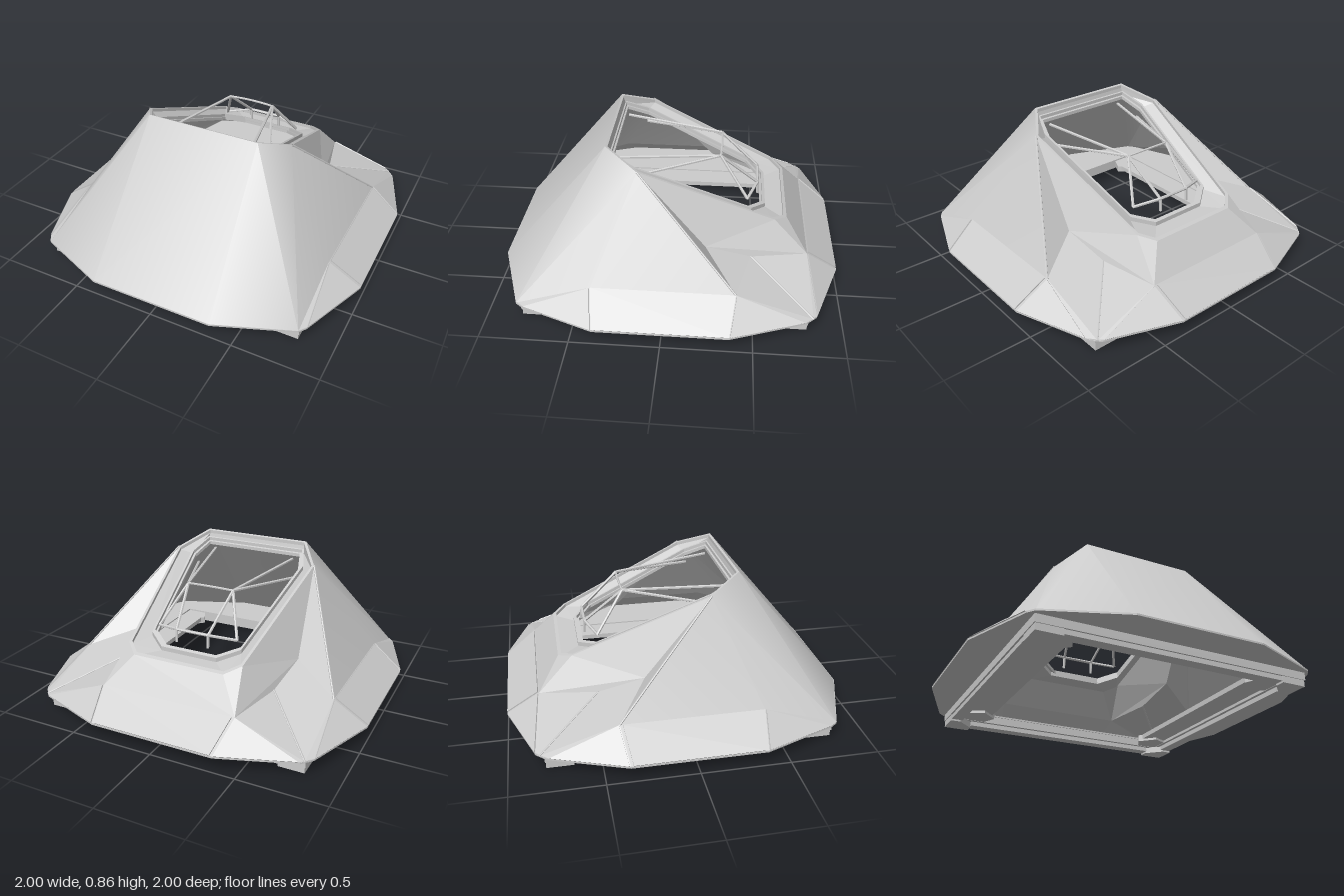
import * as THREE from 'three';
import { toCreasedNormals } from 'three/addons/utils/BufferGeometryUtils.js';

const grey = new THREE.MeshStandardMaterial({ color: 0xcccccc, flatShading: true, side: THREE.DoubleSide });
const smoothGrey = new THREE.MeshStandardMaterial({ color: 0xcccccc, side: THREE.DoubleSide });

const mirror = (p) => [-p[0], p[1], p[2]];

// Build a mesh from flat convex polygons, each a list of corner points
function polyMesh(name, polys, smooth = false) {
  const pos = [];
  for (const p of polys) {
    for (let i = 1; i < p.length - 1; i++) pos.push(...p[0], ...p[i], ...p[i + 1]);
  }
  const g = new THREE.BufferGeometry();
  g.setAttribute('position', new THREE.Float32BufferAttribute(pos, 3));
  g.computeVertexNormals();
  const m = smooth ? new THREE.Mesh(toCreasedNormals(g, 0.75), smoothGrey) : new THREE.Mesh(g, grey);
  m.name = name;
  return m;
}

const bothSides = (polys) => [...polys, ...polys.map((p) => p.map(mirror).reverse())];

// Raised armour panel: the polygon shrunk a little, with a thin edge
function panelPolys(corners) {
  const v = corners.map((c) => new THREE.Vector3(...c));
  const mid = v.reduce((a, b) => a.add(b), new THREE.Vector3()).divideScalar(v.length);
  const n = v[1].clone().sub(v[0]).cross(v[2].clone().sub(v[0])).normalize();
  if (n.y < 0) n.negate();
  const low = v.map((p) => p.clone().lerp(mid, 0.04));
  const top = low.map((p) => p.clone().addScaledVector(n, 0.007).toArray());
  const base = low.map((p) => p.toArray());
  const sides = top.map((t, i) => {
    const j = (i + 1) % top.length;
    return [base[i], base[j], top[j], t];
  });
  return [top, ...sides];
}

// Points of the sloping opening: height follows one tilted plane
const rimY = (z) => 0.696 + 0.442 * z;
function rimLoop(half, drop) {
  const right = half.map(([x, z]) => [x, rimY(z) - drop, z]);
  return [...right, ...right.map(mirror).reverse()];
}

function loftLoops(loops) {
  const polys = [];
  for (let k = 0; k < loops.length - 1; k++) {
    const a = loops[k], b = loops[k + 1];
    for (let i = 0; i < a.length; i++) {
      const j = (i + 1) % a.length;
      polys.push([a[i], a[j], b[j], b[i]]);
    }
  }
  return polys;
}

function strut(a, b, r) {
  const curve = new THREE.LineCurve3(new THREE.Vector3(...a), new THREE.Vector3(...b));
  return new THREE.Mesh(new THREE.TubeGeometry(curve, 1, r, 6), grey);
}

function box(name, w, h, d, x, y, z) {
  const m = new THREE.Mesh(new THREE.BoxGeometry(w, h, d), grey);
  m.position.set(x, y, z);
  m.name = name;
  return m;
}

// Horizontal slab from an x/z outline, rising from y
function slab(name, shape, y, depth) {
  const m = new THREE.Mesh(new THREE.ExtrudeGeometry(shape, { depth, bevelEnabled: false }), grey);
  m.rotation.x = -Math.PI / 2;
  m.position.y = y;
  m.name = name;
  return m;
}

export function createModel() {
  const model = new THREE.Group();

  // Key corners on the +x side
  const rimHalf = [[0.34, 0.36], [0.465, 0.17], [0.36, -0.61], [0.28, -0.685]];
  const [r1, r2, r3, r4] = rimLoop(rimHalf, 0);
  const front = [0.37, 0.09, 1], frontCorner = [0.81, 0.09, 0.83];
  const ridgeF = [0.81, 0.23, 0.4], ridgeB = [0.81, 0.23, -0.4];
  const edgeF = [0.998, 0.09, 0.37], edgeB = [0.998, 0.09, -0.37];
  const backCorner = [0.81, 0.09, -0.83], back = [0.37, 0.09, -0.998];
  const shoulder = [0.41, 0.23, -0.81];
  const valleyTop = [0.53, 0.335, -0.22], valley = [0.49, 0.25, -0.48];

  // Softly bent front shell
  model.add(polyMesh('frontHull', [
    [mirror(front), front, r1, mirror(r1)],
    ...bothSides([
      [front, frontCorner, r1], [frontCorner, r2, r1],
      [frontCorner, ridgeF, r2], [ridgeF, ridgeB, r2],
    ]),
  ], true));

  // Sharply faceted rear shell with hollowed flanks
  model.add(polyMesh('rearHull', [
    [mirror(shoulder), mirror(r4), r4, shoulder],
    ...bothSides([
      [r2, ridgeB, valleyTop], [valleyTop, ridgeB, valley],
      [r2, valleyTop, r3], [r3, valleyTop, shoulder],
      [valleyTop, valley, shoulder], [r3, shoulder, r4],
      [valley, ridgeB, backCorner], [valley, backCorner, shoulder],
    ]),
  ]));

  // Thin trim along the main seams
  const trim = new THREE.Group();
  trim.name = 'seamTrim';
  for (const f of [(p) => p, mirror]) {
    for (const [a, b] of [[r2, ridgeB], [valley, backCorner]]) trim.add(strut(f(a), f(b), 0.006));
  }
  model.add(trim);

  // Sloping skirt beneath the armour panels
  const frontTip = [0.84, 0.09, 0.79], backTip = [0.845, 0.09, -0.79], rearTip = [0.79, 0.09, -0.85];
  const sideSkirt = [
    [ridgeF, edgeF, edgeB, ridgeB],
    [ridgeF, frontTip, edgeF],
    [ridgeB, edgeB, backTip],
    [shoulder, rearTip, back],
  ];
  const rearSkirt = [shoulder, back, mirror(back), mirror(shoulder)];
  model.add(polyMesh('skirt', [rearSkirt, ...bothSides([
    ...sideSkirt, [ridgeF, frontCorner, frontTip], [ridgeB, backTip, backCorner], [shoulder, backCorner, rearTip],
  ])]));
  model.add(polyMesh('skirtPanels', [
    ...panelPolys(rearSkirt), ...bothSides(sideSkirt.flatMap((p) => panelPolys(p))),
  ]));

  // Stepped rim around the opening: outer lip, sloping band, inner bead
  const lip = [[0.33, 0.348], [0.45, 0.165], [0.345, -0.60], [0.274, -0.665]];
  const inner = [[0.335, 0.338], [0.385, 0.20], [0.288, -0.475], [0.175, -0.56]];
  const bead = [[0.325, 0.33], [0.37, 0.195], [0.278, -0.458], [0.165, -0.542]];
  const mouth = [[0.315, 0.32], [0.355, 0.19], [0.268, -0.443], [0.155, -0.527]];
  model.add(polyMesh('openingRim', loftLoops([
    rimLoop(rimHalf, 0), rimLoop(lip, 0), rimLoop(lip, 0.02), rimLoop(inner, 0.06),
    rimLoop(inner, 0.035), rimLoop(bead, 0.035), rimLoop(bead, 0.055), rimLoop(mouth, 0.055), rimLoop(mouth, 0.075),
  ])));

  // Open canopy frame
  const canopy = new THREE.Group();
  canopy.name = 'canopyFrame';
  const apex = [0.145, 0.712, -0.285];
  const footRear = [0.1, 0.515, -0.51], footSide = [0.25, 0.49, -0.45];
  for (const f of [(p) => p, mirror]) {
    for (const [a, b] of [
      [apex, [0.27, 0.745, 0.31]], [apex, [0.34, 0.67, 0.2]],
      [apex, footRear], [apex, footSide], [footRear, footSide],
      [footRear, [0.1, 0.44, -0.515]],
    ]) canopy.add(strut(f(a), f(b), 0.009));
  }
  canopy.add(strut(footRear, mirror(footRear), 0.009));
  const bow = new THREE.QuadraticBezierCurve3(
    new THREE.Vector3(...apex), new THREE.Vector3(0, 0.72, -0.295), new THREE.Vector3(...mirror(apex)));
  canopy.add(new THREE.Mesh(new THREE.TubeGeometry(bow, 8, 0.007, 6), grey));
  model.add(canopy);

  // Flat plate closing the underside out to the skirt edge
  const rightEdge = [front, frontCorner, frontTip, edgeF, edgeB, backTip, rearTip, back];
  const plate = new THREE.Shape([...rightEdge, ...rightEdge.map(mirror).reverse()]
    .map((p) => new THREE.Vector2(p[0], -p[2])));
  plate.holes.push(new THREE.Path([[0.7, 0.7], [-0.7, 0.7], [-0.7, -0.7], [0.7, -0.7]]
    .map(([x, y]) => new THREE.Vector2(x, y))));
  model.add(slab('undersidePlate', plate, 0.083, 0.01));

  // Base frame: four beams in two steps, side decks, corner gussets and feet
  const base = new THREE.Group();
  base.name = 'baseFrame';
  for (const s of [-1, 1]) {
    base.add(box('sideBeam', 0.1, 0.048, 1.61, s * 0.755, 0.062, 0));
    base.add(box('endBeam', 1.61, 0.048, 0.1, 0, 0.062, s * 0.755));
    base.add(box('lowerSideBeam', 0.07, 0.028, 1.3, s * 0.76, 0.025, 0));
    base.add(box('lowerEndBeam', 1.3, 0.028, 0.07, 0, 0.025, s * 0.76));
    base.add(box('sideDeck', 0.16, 0.03, 1.2, s * 0.63, 0.07, 0));
    for (const t of [-1, 1]) {
      const corner = (pts) => new THREE.Shape(pts.map(([x, z]) => new THREE.Vector2(s * x, -t * z)));
      base.add(slab('cornerGusset', corner([[0.8, 0.8], [0.62, 0.8], [0.53, 0.62], [0.62, 0.53], [0.8, 0.62]]), 0.04, 0.043));
      base.add(slab('cornerFoot', corner([[0.8, 0.8], [0.65, 0.8], [0.65, 0.74], [0.74, 0.65], [0.8, 0.65]]), 0, 0.042));
    }
  }
  model.add(base);
  return model;
}
